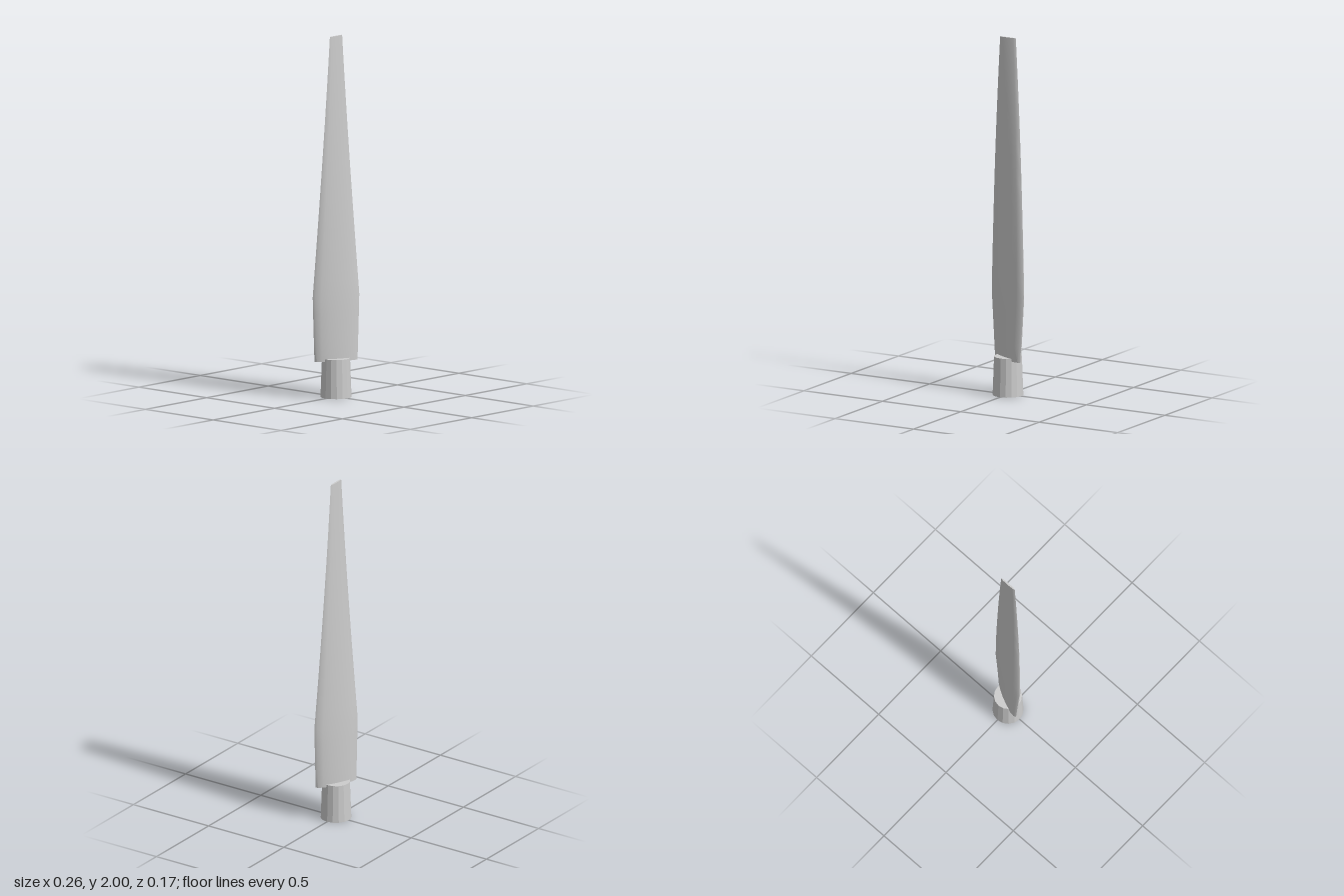
import * as THREE from 'three';
import { toCreasedNormals } from 'three/addons/utils/BufferGeometryUtils.js';

const SIDES = 16;
const lerp = THREE.MathUtils.lerp;

// Twisted blade lofted from elliptical sections, widest at y = 0.56
function bladeGeometry() {
  const root = 0.2, wide = 0.56, tip = 2;
  const levels = [];
  for (let j = 0; j <= 4; j++) levels.push(lerp(root, wide, j / 4));
  for (let j = 1; j <= 16; j++) levels.push(lerp(wide, tip, j / 16));

  const positions = [], index = [];
  for (const y of levels) {
    const inner = (y - root) / (wide - root);
    const outer = (y - wide) / (tip - wide);
    const chord = y < wide ? lerp(0.126, 0.142, inner) : lerp(0.142, 0.05, outer);
    const thick = y < wide ? 0.029 : lerp(0.029, 0.005, outer);
    const twist = lerp(0.47, 0, (y - root) / (tip - root));
    for (let i = 0; i < SIDES; i++) {
      const a = (i / SIDES) * Math.PI * 2;
      const u = chord * Math.cos(a), v = thick * Math.sin(a);
      positions.push(
        u * Math.cos(twist) - v * Math.sin(twist), y,
        u * Math.sin(twist) + v * Math.cos(twist));
    }
  }
  // Skin
  for (let j = 0; j < levels.length - 1; j++) {
    for (let i = 0; i < SIDES; i++) {
      const k = (i + 1) % SIDES, lo = j * SIDES, hi = lo + SIDES;
      index.push(lo + i, hi + i, hi + k, lo + i, hi + k, lo + k);
    }
  }
  // End caps
  const top = (levels.length - 1) * SIDES;
  for (let i = 1; i < SIDES - 1; i++) {
    index.push(0, i, i + 1, top, top + i + 1, top + i);
  }
  const geometry = new THREE.BufferGeometry();
  geometry.setAttribute('position', new THREE.Float32BufferAttribute(positions, 3));
  geometry.setIndex(index);
  return toCreasedNormals(geometry, Math.PI / 6);
}

export function createModel() {
  const group = new THREE.Group();
  group.name = 'rotorBlade';

  const paint = new THREE.MeshStandardMaterial({ color: 0xcccccc });
  paint.name = 'light grey';
  const facetedPaint = paint.clone();
  facetedPaint.flatShading = true;

  const blade = new THREE.Mesh(bladeGeometry(), paint);
  blade.name = 'blade';

  // Slightly tapered mounting stub
  const stub = new THREE.Mesh(new THREE.CylinderGeometry(0.077, 0.085, 0.215, SIDES), facetedPaint);
  stub.name = 'rootStub';
  stub.position.y = 0.1075;

  group.add(blade, stub);
  return group;
}
